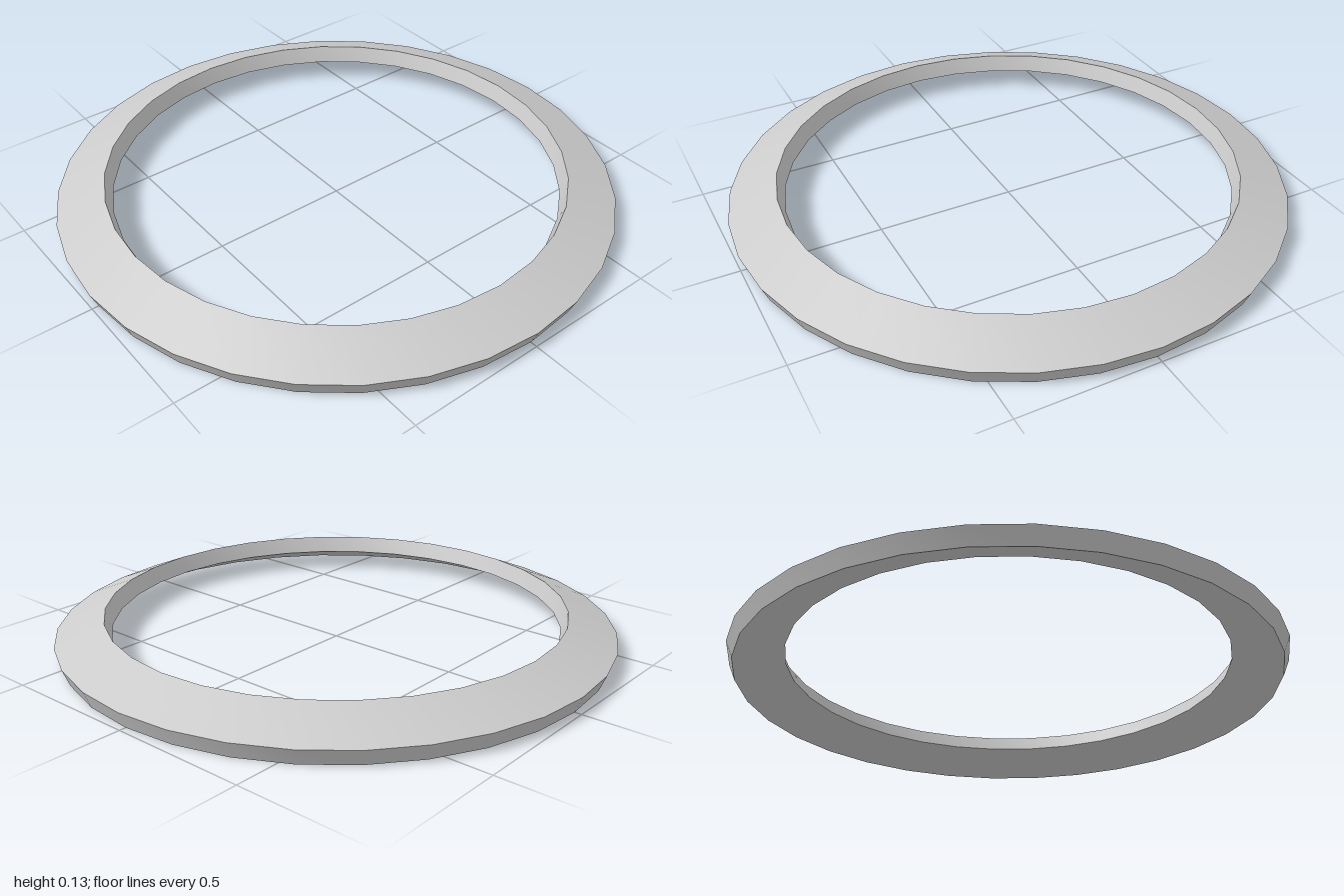
import * as THREE from 'three';
import { toCreasedNormals } from 'three/addons/utils/BufferGeometryUtils.js';

export function createModel() {
  const group = new THREE.Group();
  group.name = 'bevelledRing';

  // Tilted four-sided section, from the outer foot up and around
  const section = [
    [0.976, 0],     // outer foot
    [1, 0.059],     // widest edge
    [0.826, 0.131], // top inner rim
    [0.802, 0.072], // inner lower rim
    [0.976, 0],
  ].map(([r, y]) => new THREE.Vector2(r, y));

  // Smooth around the ring, sharp across the section edges
  const geometry = toCreasedNormals(new THREE.LatheGeometry(section, 32), Math.PI / 6);
  const ring = new THREE.Mesh(geometry, new THREE.MeshStandardMaterial({ color: 0xcccccc }));
  ring.name = 'ring';
  group.add(ring);

  return group;
}
